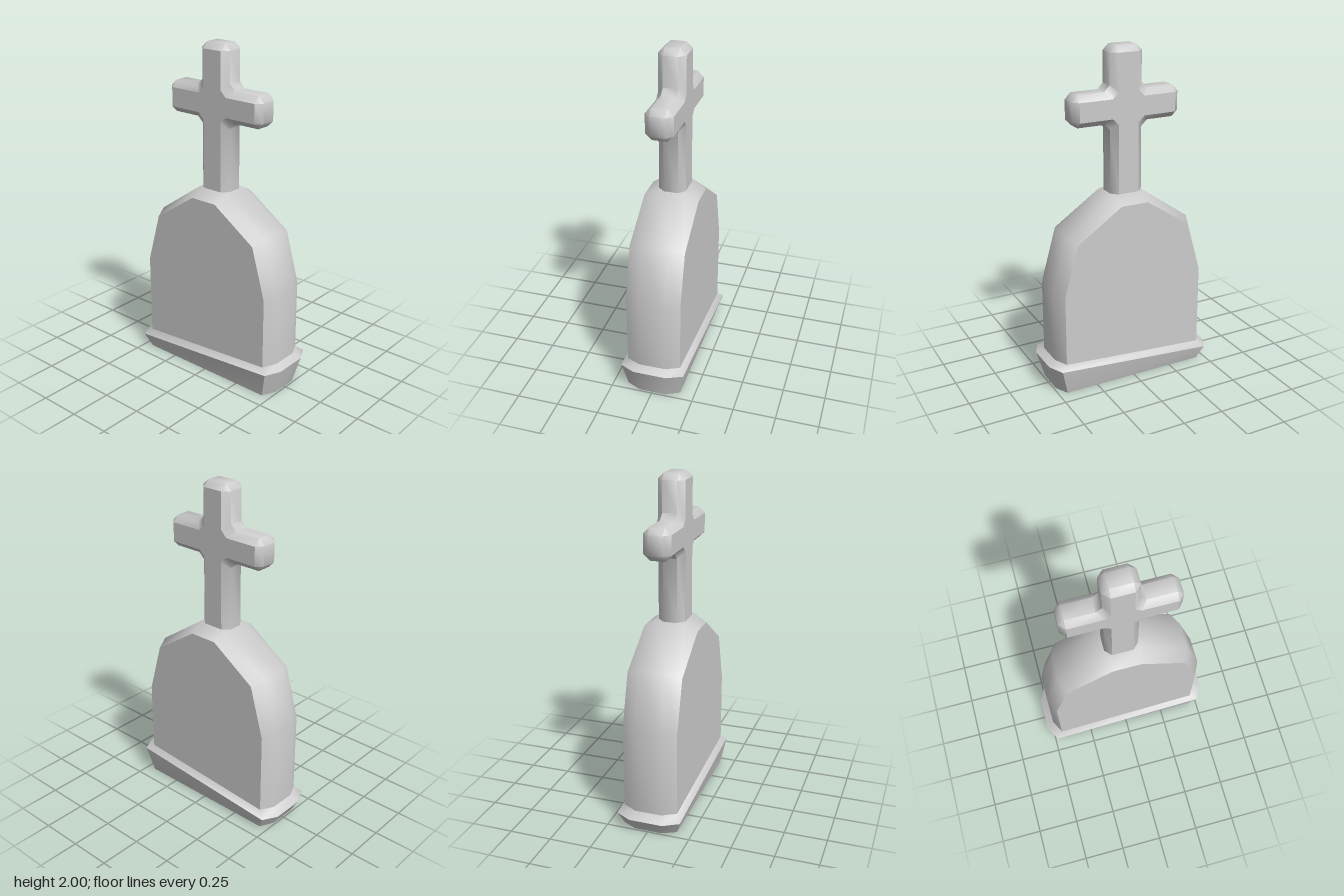
import * as THREE from 'three';
import { mergeGeometries, toCreasedNormals } from 'three/addons/utils/BufferGeometryUtils.js';

const stone = new THREE.MeshStandardMaterial({ color: 0xcccccc, side: THREE.DoubleSide });

function fromPoints(points) {
  const g = new THREE.BufferGeometry().setFromPoints(points);
  g.computeVertexNormals();
  return g;
}

// Skin between successive rings of points, soft except at sharp edges
function loft(rings, closed) {
  const tris = [];
  const add = (a, b, c) => {
    if (new THREE.Triangle(a, b, c).getArea() > 1e-7) tris.push(a, b, c);
  };
  const n = rings[0].length;
  for (let i = 0; i < rings.length - 1; i++) {
    for (let j = 0; j < (closed ? n : n - 1); j++) {
      const k = (j + 1) % n;
      add(rings[i][j], rings[i][k], rings[i + 1][k]);
      add(rings[i][j], rings[i + 1][k], rings[i + 1][j]);
    }
  }
  return toCreasedNormals(fromPoints(tris), 0.9);
}

// Flat face filling an outline at depth z
function cap(outline, z) {
  const pts = outline
    .filter(([x, y], i) => i === 0 || x !== outline[i - 1][0] || y !== outline[i - 1][1])
    .map(([x, y]) => new THREE.Vector2(x, y));
  const tris = [];
  for (const [a, b, c] of THREE.ShapeUtils.triangulateShape(pts, [])) {
    for (const i of z > 0 ? [a, b, c] : [a, c, b]) tris.push(new THREE.Vector3(pts[i].x, pts[i].y, z));
  }
  return fromPoints(tris);
}

// Slab with bevelled front and back edges, open underneath
function bevelledSlab(name, outer, face, zOuter, zFace) {
  const ring = (pts, z) => pts.map(([x, y]) => new THREE.Vector3(x, y, z));
  const geometry = mergeGeometries([
    loft([ring(face, -zFace), ring(outer, -zOuter), ring(outer, zOuter), ring(face, zFace)], false),
    cap(face, zFace),
    cap(face, -zFace),
  ]);
  const mesh = new THREE.Mesh(geometry, stone);
  mesh.name = name;
  return mesh;
}

// Complete a right-hand profile (bottom to top) with its mirror image
const mirrored = (half) => [...half, ...half.map(([x, y]) => [-x, y]).reverse()];

// The plinth top and its widest line slope up towards +x
const topY = (x) => 0.155 + 0.075 * x;
const bulgeY = (x) => 0.1225 + 0.08 * x;

// Eight-sided plan ring at a height given by a rule
function planRing(xEnd, zEnd, xSide, zSide, height) {
  return [
    [xEnd, zEnd], [xEnd, -zEnd], [xSide, -zSide], [-xSide, -zSide],
    [-xEnd, -zEnd], [-xEnd, zEnd], [-xSide, zSide], [xSide, zSide],
  ].map(([x, z]) => new THREE.Vector3(x, height(x), z));
}

export function createModel() {
  const group = new THREE.Group();
  group.name = 'gravestone';

  // Plinth, open underneath
  const plinth = new THREE.Mesh(loft([
    planRing(0.488, 0.08, 0.447, 0.162, () => 0),
    planRing(0.534, 0.1, 0.487, 0.192, bulgeY),
    planRing(0.488, 0.08, 0.447, 0.162, topY),
  ], true), stone);
  plinth.name = 'plinth';
  group.add(plinth);

  // Headstone, its foot following the sloping plinth
  const foot = (pts) => pts.map(([x, y]) => [x, y === 0 ? topY(x) : y]);
  group.add(bevelledSlab(
    'headstone',
    foot(mirrored([[0.488, 0], [0.488, 0.62], [0.395, 0.95], [0.1, 1.155]])),
    foot(mirrored([[0.447, 0], [0.447, 0.62], [0.36, 0.925], [0.085, 1.11]])),
    0.08, 0.162,
  ));

  // Cross with cut corners
  const cross = bevelledSlab(
    'cross',
    mirrored([
      [0.1, 1.15], [0.1, 1.53], [0.135, 1.565], [0.3, 1.565], [0.335, 1.6], [0.335, 1.713],
      [0.3, 1.75], [0.135, 1.75], [0.1, 1.785], [0.1, 1.965], [0.063, 2],
    ]),
    mirrored([
      [0.063, 1.15], [0.063, 1.565], [0.1, 1.6], [0.3, 1.6], [0.3, 1.6], [0.3, 1.713],
      [0.3, 1.713], [0.1, 1.713], [0.063, 1.75], [0.063, 1.965], [0.063, 1.965],
    ]),
    0.043, 0.08,
  );
  cross.position.x = -0.003;
  group.add(cross);

  return group;
}
